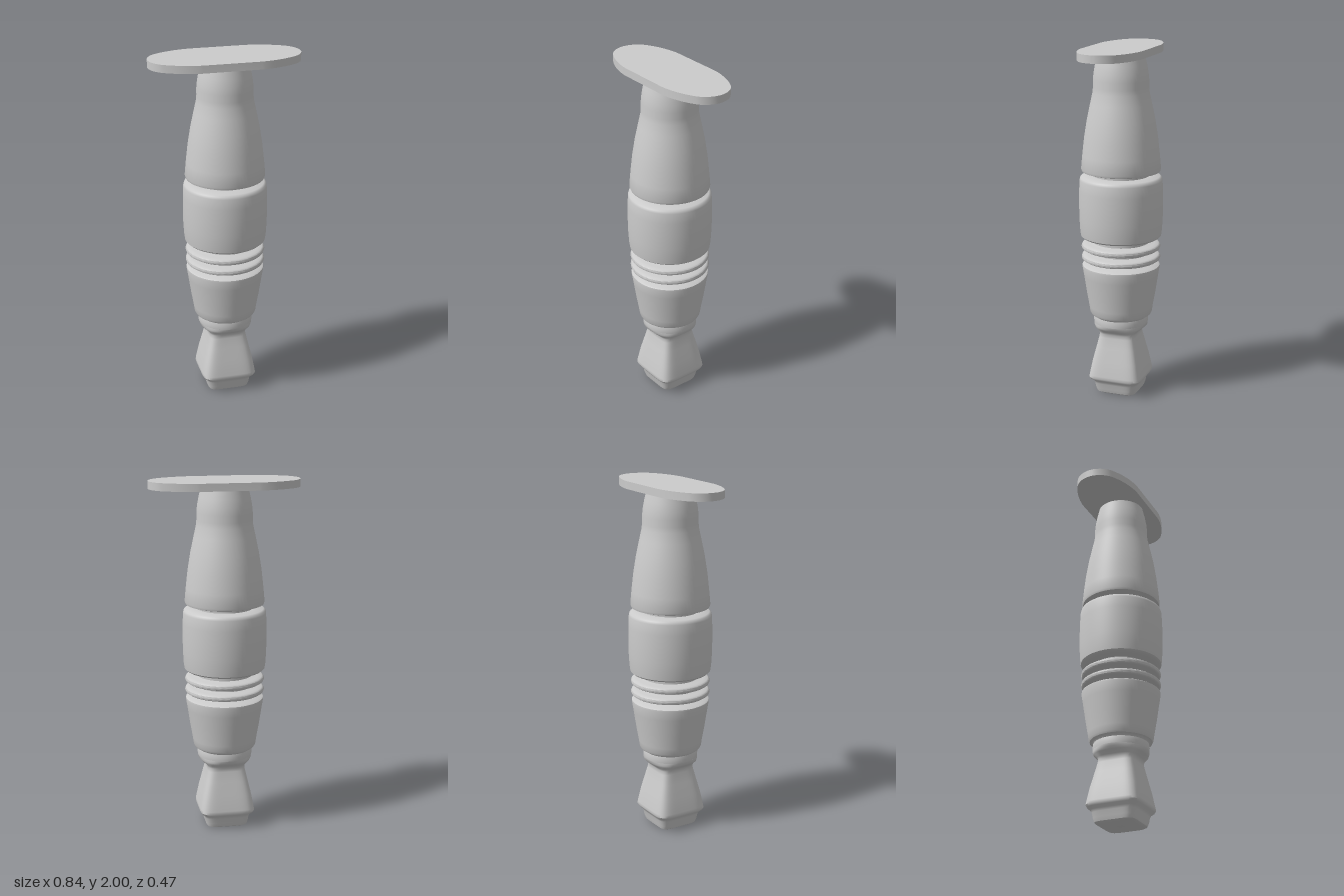
import * as THREE from 'three';
import { toCreasedNormals } from 'three/addons/utils/BufferGeometryUtils.js';

const material = new THREE.MeshStandardMaterial({ color: 0xcccccc });

function addPart(group, name, geometry) {
  const mesh = new THREE.Mesh(geometry, material);
  mesh.name = name;
  group.add(mesh);
  return mesh;
}

// Turned part from [radius, y] pairs listed bottom to top
function turned(profile, crease = 0.7) {
  const points = profile.map(([r, y]) => new THREE.Vector2(r, y));
  return toCreasedNormals(new THREE.LatheGeometry(points, 72), crease);
}

// Loft of superellipse rings: [half width, y, exponent] from bottom to top
function loft(sections, sides = 80) {
  const position = [], index = [];
  for (const [r, y, n] of sections) {
    for (let i = 0; i < sides; i++) {
      const a = (i / sides) * Math.PI * 2, c = Math.cos(a), s = Math.sin(a);
      const k = r / Math.pow(Math.abs(c) ** n + Math.abs(s) ** n, 1 / n);
      position.push(k * c, y, k * s);
    }
  }
  for (let j = 0; j < sections.length - 1; j++) {
    for (let i = 0; i < sides; i++) {
      const a = j * sides + i, b = j * sides + (i + 1) % sides;
      index.push(a, a + sides, b, b, a + sides, b + sides);
    }
  }
  // Bottom cap
  const centre = position.length / 3;
  position.push(0, sections[0][1], 0);
  for (let i = 0; i < sides; i++) index.push(centre, i, (i + 1) % sides);
  const geometry = new THREE.BufferGeometry();
  geometry.setAttribute('position', new THREE.Float32BufferAttribute(position, 3));
  geometry.setIndex(index);
  geometry.computeVertexNormals();
  return toCreasedNormals(geometry, 0.7);
}

export function createModel() {
  const group = new THREE.Group();
  group.name = 'turnedHandle';

  // Square flared foot blending into the round collar
  addPart(group, 'foot', loft([
    [0.105, 0, 6], [0.118, 0.008, 6], [0.125, 0.03, 6], [0.13, 0.06, 6],
    [0.136, 0.075, 6], [0.152, 0.088, 6], [0.158, 0.1, 6], [0.156, 0.115, 6],
    [0.14, 0.2, 6], [0.121, 0.28, 6], [0.108, 0.34, 5.5], [0.106, 0.36, 5],
    [0.115, 0.375, 3.8], [0.138, 0.392, 2.8], [0.151, 0.405, 2.2], [0.155, 0.42, 2],
  ]));

  // Collar and lower tapered grip
  addPart(group, 'lowerGrip', turned([
    [0.155, 0.42], [0.157, 0.44], [0.153, 0.46], [0.158, 0.468], [0.172, 0.473],
    [0.178, 0.485], [0.183, 0.52], [0.197, 0.6], [0.212, 0.7], [0.221, 0.755],
    [0.22, 0.764], [0.212, 0.769], [0.18, 0.773], [0.16, 0.78],
  ]));

  // Slim core seen in the grooves
  addPart(group, 'grooveCore', turned([[0.16, 0.77], [0.16, 1.31]]));

  // Two thin rounded rings
  for (const y of [0.812, 0.875]) {
    const bead = [[0.16, -0.024], [0.19, -0.018], [0.212, -0.016], [0.221, -0.01],
      [0.225, 0], [0.221, 0.01], [0.212, 0.016], [0.19, 0.018], [0.16, 0.024]];
    addPart(group, 'ring', turned(bead, 1)).position.y = y;
  }

  // Wide middle barrel
  addPart(group, 'barrel', turned([
    [0.16, 0.922], [0.19, 0.927], [0.218, 0.931], [0.228, 0.94], [0.232, 0.97],
    [0.236, 1.04], [0.237, 1.12], [0.236, 1.2], [0.233, 1.26], [0.229, 1.274],
    [0.218, 1.282], [0.16, 1.286],
  ]));

  // Upper grip narrowing to the neck
  addPart(group, 'upperGrip', turned([
    [0.16, 1.303], [0.205, 1.307], [0.22, 1.312], [0.224, 1.325], [0.217, 1.4],
    [0.206, 1.5], [0.19, 1.6], [0.171, 1.69], [0.158, 1.75], [0.155, 1.78],
    [0.155, 1.82], [0.151, 1.86], [0.143, 1.905], [0.133, 1.945], [0.13, 1.96],
  ]));

  // Flat oval plate on top
  const outline = new THREE.Shape();
  outline.moveTo(-0.16, 0.175);
  outline.lineTo(0.16, 0.175);
  for (const s of [1, -1]) {
    outline.bezierCurveTo(s * 0.24, s * 0.168, s * 0.31, s * 0.143, s * 0.365, s * 0.108);
    outline.bezierCurveTo(s * 0.4, s * 0.082, s * 0.421, s * 0.04, s * 0.421, 0);
    outline.bezierCurveTo(s * 0.421, s * -0.04, s * 0.4, s * -0.082, s * 0.365, s * -0.108);
    outline.bezierCurveTo(s * 0.31, s * -0.143, s * 0.24, s * -0.168, s * 0.16, s * -0.175);
    outline.lineTo(s * -0.16, s * -0.175);
  }
  const plate = new THREE.ExtrudeGeometry(outline, { depth: 0.043, bevelEnabled: false, curveSegments: 12 });
  plate.rotateX(-Math.PI / 2);
  plate.translate(0, 1.957, -0.002);
  addPart(group, 'topPlate', toCreasedNormals(plate, 0.6));

  return group;
}
